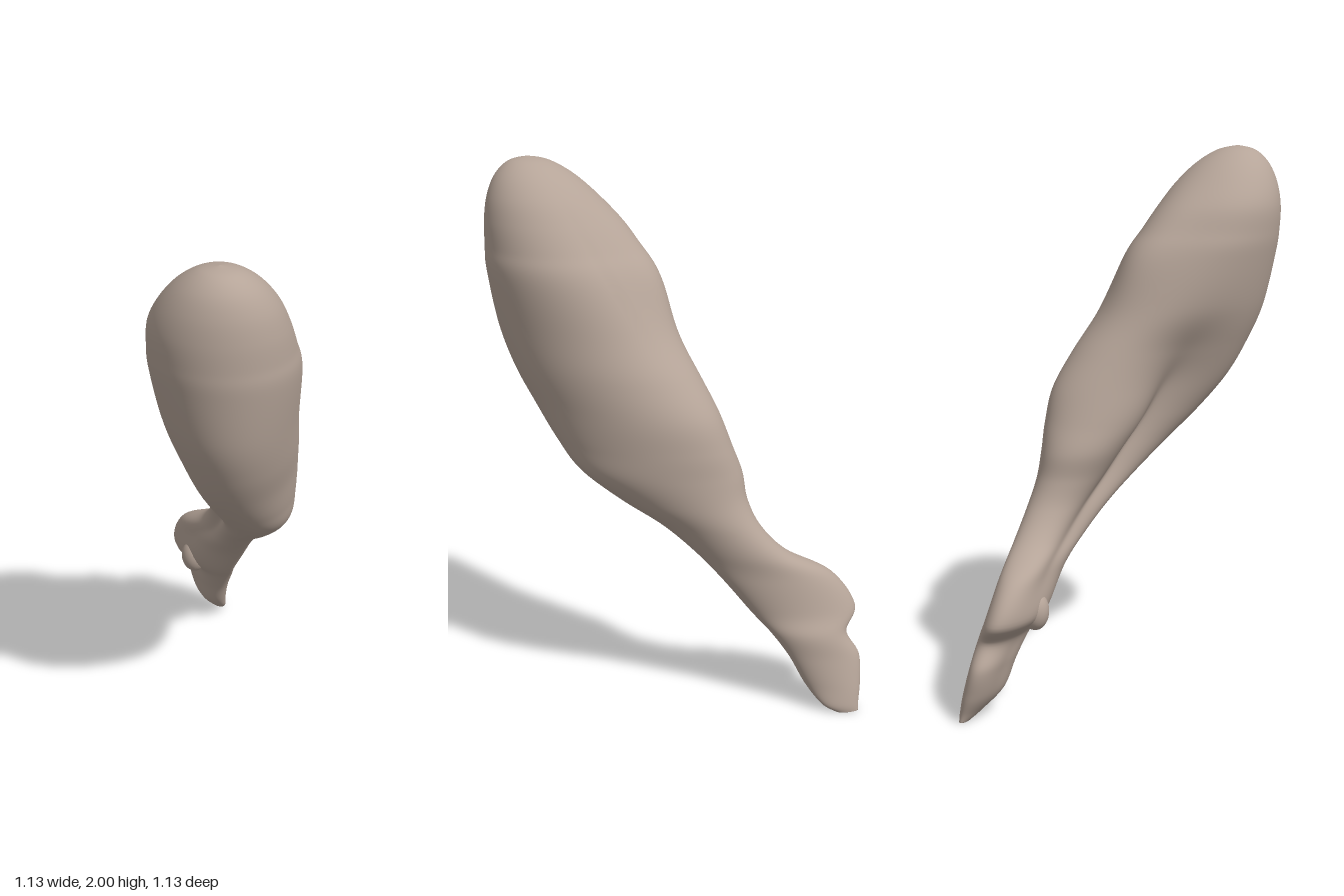
import * as THREE from 'three';

// Cross-sections from shoulder to tip: y, xMin, xMax, zMin, zMax, depth of the hollow
const SECTIONS = [
  [1.78, -0.565, -0.105, 0.08, 0.56, 0],
  [1.69, -0.562, -0.045, 0.045, 0.565, 0],
  [1.6, -0.55, 0.015, 0.015, 0.565, 0],
  [1.4, -0.505, 0.11, -0.03, 0.53, 0.06],
  [1.25, -0.44, 0.205, -0.075, 0.49, 0.3],
  [1.12, -0.365, 0.275, -0.115, 0.44, 0.52],
  [1.0, -0.265, 0.3, -0.15, 0.395, 0.6],
  [0.9, -0.16, 0.31, -0.18, 0.345, 0.6],
  [0.8, -0.05, 0.325, -0.185, 0.235, 0.52],
  [0.7, 0.055, 0.355, -0.22, 0.1, 0.42],
  [0.6, 0.14, 0.39, -0.31, 0.0, 0.32],
  [0.5, 0.21, 0.425, -0.48, -0.08, 0.22],
  [0.37, 0.265, 0.465, -0.56, -0.175, -0.05],
  [0.29, 0.325, 0.495, -0.5, -0.235, 0.1],
  [0.2, 0.37, 0.52, -0.54, -0.29, 0.15],
  [0.1, 0.41, 0.545, -0.53, -0.335, 0.1],
  [0.03, 0.48, 0.558, -0.51, -0.375, 0],
  [0.0, 0.52, 0.56, -0.505, -0.42, 0],
];
const SIDES = 80, STEPS = 8, DOME_ROWS = 4;
const { smoothstep } = THREE.MathUtils;
const bell = (d) => Math.exp(-d * d);

// Rounded dome rising from the shoulder to the top
function domeSections() {
  const rows = [];
  for (let k = DOME_ROWS; k > 0; k--) {
    const f = Math.sin((k / DOME_ROWS) * Math.PI / 2);
    const w = Math.sqrt((1 - f) * (1 + 0.3 * f));
    const cx = -0.335 - 0.065 * f, cz = 0.32 + 0.06 * f;
    rows.push([1.78 + 0.22 * f, cx - 0.23 * w, cx + 0.23 * w, cz - 0.24 * w, cz + 0.24 * w, 0]);
  }
  return rows;
}

// Smooth blend through the cross-sections
function sectionAt(table, t) {
  const last = table.length - 1;
  const i = Math.min(Math.floor(t), last - 1), f = t - i;
  const row = (k) => table[Math.max(0, Math.min(last, k))];
  return row(i).map((b, c) => {
    const a = row(i - 1)[c], d = row(i + 1)[c], e = row(i + 2)[c];
    return b + 0.5 * f * (d - a + f * (2 * a - 5 * b + 4 * d - e + f * (3 * (b - d) + e - a)));
  });
}

function organicSkin() {
  const table = [...domeSections(), ...SECTIONS];
  const positions = [], index = [];
  const rows = (table.length - 1) * STEPS;
  for (let i = 0; i <= rows; i++) {
    const [y, x0, x1, z0, z1, hollow] = sectionAt(table, i / STEPS);
    // Sections flatten diagonally below the dome
    const skew = -0.5 * (1 - smoothstep(y, 1.1, 1.9));
    // The hollow swings towards the back as it rises; a ridge runs above it
    const hollowAngle = Math.PI * (1.25 + 0.14 * smoothstep(y, 0.95, 1.35));
    const ridge = 0.17 * bell((y - 1.64) / 0.2);
    for (let j = 0; j < SIDES; j++) {
      const a = (j / SIDES) * Math.PI * 2;
      const r = 1 - hollow * bell((a - hollowAngle) / 0.52) + ridge * bell((a - Math.PI * 1.75) / 0.45);
      positions.push(
        (x0 + x1) / 2 + ((x1 - x0) / 2) * r * Math.cos(a),
        y,
        (z0 + z1) / 2 + ((z1 - z0) / 2) * r * Math.sin(a + skew)
      );
      if (i < rows) {
        const k = (j + 1) % SIDES, p = i * SIDES, q = p + SIDES;
        index.push(p + j, p + k, q + j, p + k, q + k, q + j);
      }
    }
  }
  // Close the tip
  const tip = rows * SIDES;
  for (let j = 1; j < SIDES - 1; j++) index.push(tip, tip + j, tip + j + 1);
  const geometry = new THREE.BufferGeometry();
  geometry.setAttribute('position', new THREE.Float32BufferAttribute(positions, 3));
  geometry.setIndex(index);
  geometry.computeVertexNormals();
  return geometry;
}

export function createModel() {
  const group = new THREE.Group();
  const clay = new THREE.MeshStandardMaterial({ color: 0xb5a498 });
  clay.name = 'warm grey';

  // Rounded body tapering into a flattened stalk
  const body = new THREE.Mesh(organicSkin(), clay);
  body.name = 'bodyAndStalk';
  group.add(body);

  // Small knob on the inner edge of the stalk
  const knob = new THREE.Mesh(new THREE.SphereGeometry(1, 24, 16), clay);
  knob.name = 'stalkKnob';
  knob.scale.set(0.05, 0.07, 0.055);
  knob.position.set(0.3, 0.375, -0.365);
  group.add(knob);
  return group;
}
